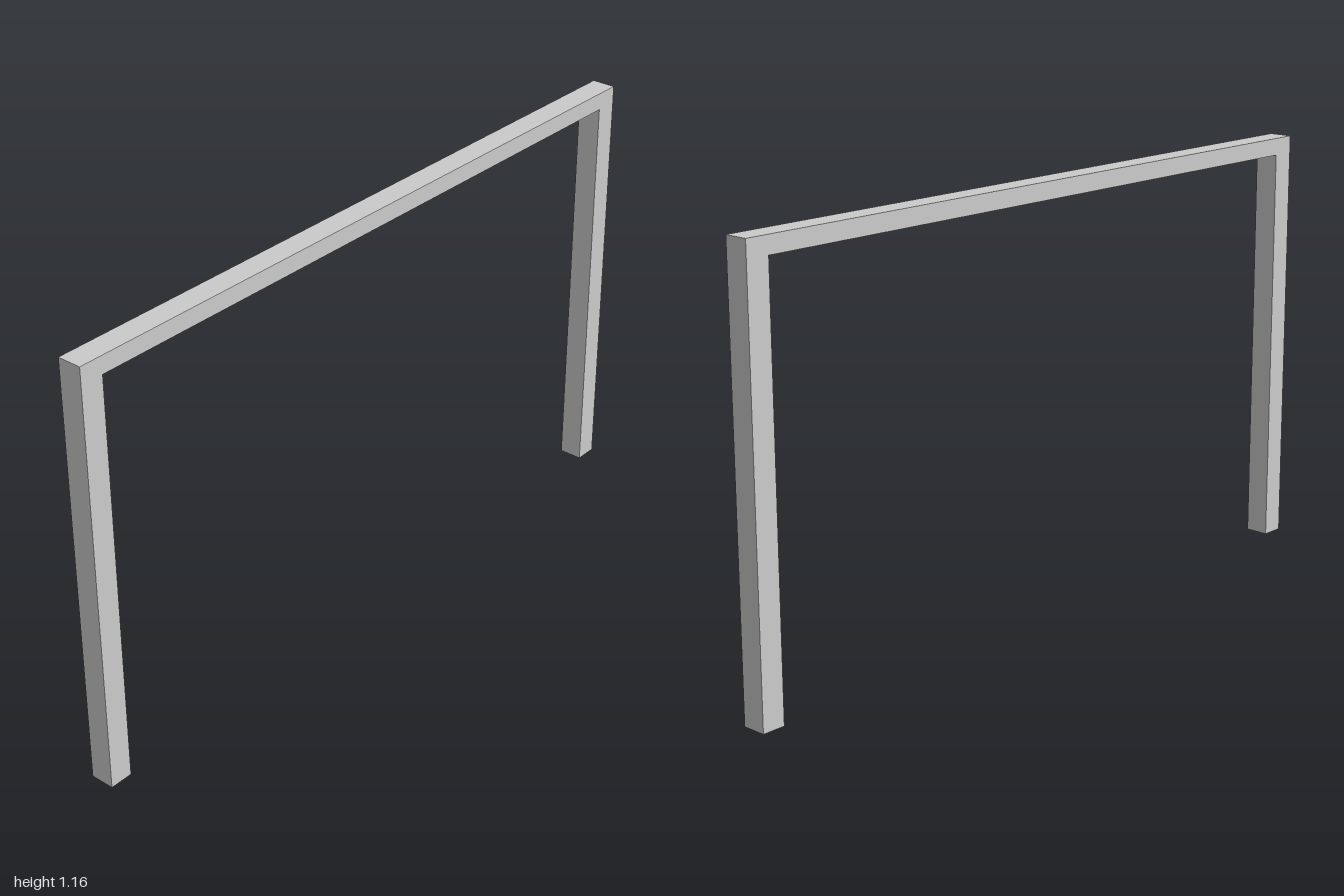
import * as THREE from 'three';

const HEIGHT = 1.164, DEPTH = 0.066, LEG = 0.064, BEAM = 0.047;

export function createModel() {
  const group = new THREE.Group();
  group.name = 'portalFrame';

  // Two square legs and the top beam as one continuous outline
  const inner = 1 - LEG, under = HEIGHT - BEAM;
  const outline = new THREE.Shape([
    [-1, 0], [-inner, 0], [-inner, under], [inner, under],
    [inner, 0], [1, 0], [1, HEIGHT], [-1, HEIGHT],
  ].map(([x, y]) => new THREE.Vector2(x, y)));

  const geometry = new THREE.ExtrudeGeometry(outline, { depth: DEPTH, bevelEnabled: false });
  geometry.translate(0, 0, -DEPTH / 2);

  const frame = new THREE.Mesh(geometry, new THREE.MeshStandardMaterial({ color: 0xcccccc }));
  frame.name = 'legsAndBeam';
  group.add(frame);
  return group;
}
